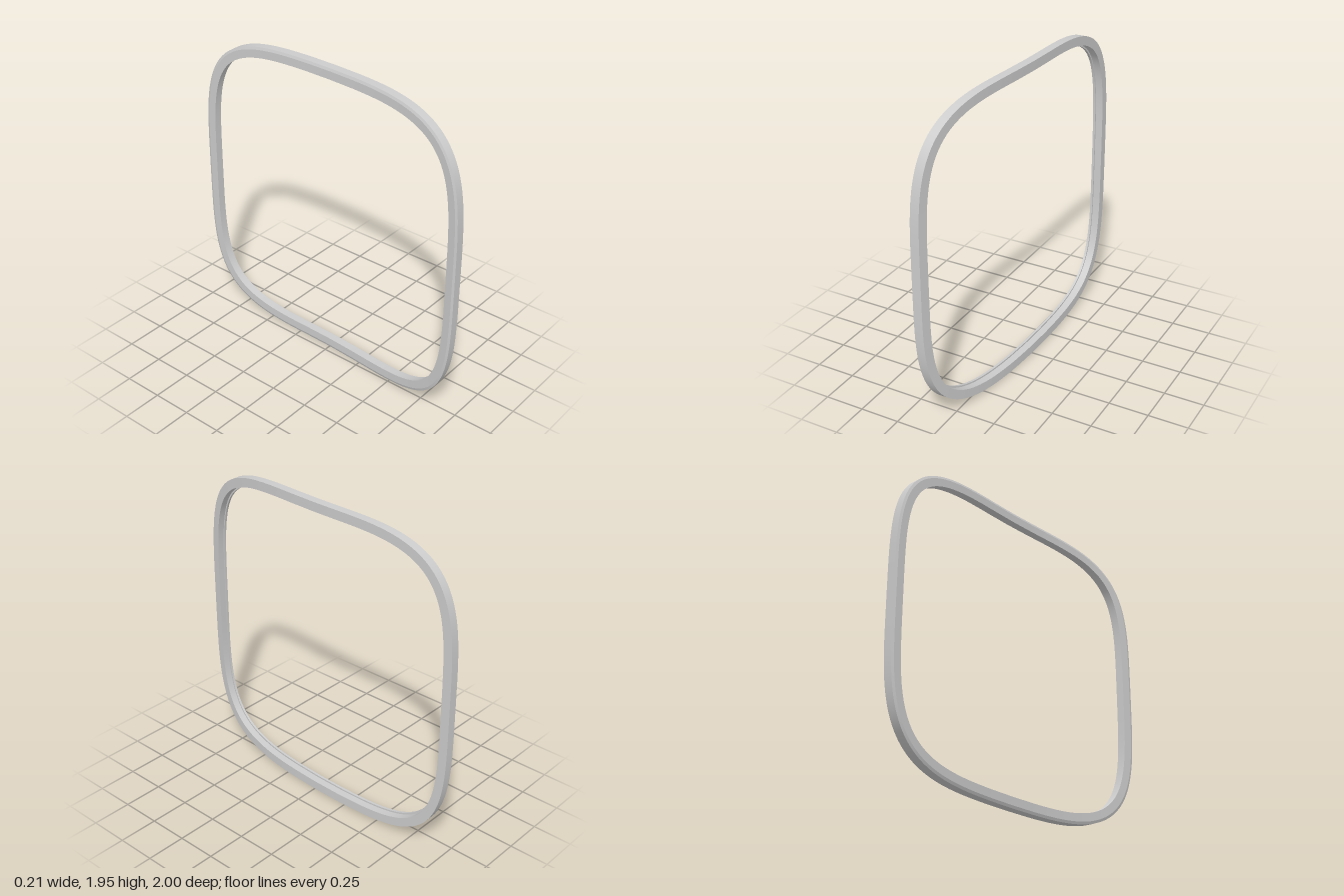
import * as THREE from 'three';

const HALF_Z = 1, HALF_Y = 0.9725, POWER = 4, SEGMENTS = 200;

// The flat rear half sweeps sideways toward the front
const faceX = (z) => 0.104 - 0.152 * Math.pow(Math.max(0, (z + 0.2) / 1.2), 2);

// Point on the rounded-square outline, moved inward by inset and sideways by depth
function ringPoint(i, [depth, inset]) {
  const t = (i / SEGMENTS) * Math.PI * 2;
  const c = Math.cos(t), s = Math.sin(t);
  const u = Math.sign(c) * Math.pow(Math.abs(c), 2 / POWER);
  const v = Math.sign(s) * Math.pow(Math.abs(s), 2 / POWER);
  let nz = Math.sign(u) * Math.pow(Math.abs(u), POWER - 1) / HALF_Z;
  let ny = Math.sign(v) * Math.pow(Math.abs(v), POWER - 1) / HALF_Y;
  const len = Math.hypot(nz, ny);
  nz /= len;
  ny /= len;
  const z = HALF_Z * u - nz * inset;
  const y = HALF_Y + HALF_Y * v - ny * inset;
  return [faceX(z) + depth, y, z];
}

// Sweep a closed profile round the outline, one smooth strip per profile edge
function sweepRing(profile) {
  const positions = [], index = [];
  profile.forEach((p, k) => {
    const q = profile[(k + 1) % profile.length];
    const base = positions.length / 3;
    for (let i = 0; i < SEGMENTS; i++) {
      positions.push(...ringPoint(i, p), ...ringPoint(i, q));
      const a = base + i * 2, c = base + ((i + 1) % SEGMENTS) * 2;
      index.push(a, a + 1, c, a + 1, c + 1, c);
    }
  });
  const geometry = new THREE.BufferGeometry();
  geometry.setAttribute('position', new THREE.Float32BufferAttribute(positions, 3));
  geometry.setIndex(index);
  geometry.computeVertexNormals();
  return geometry;
}

export function createModel() {
  const group = new THREE.Group();
  group.name = 'curvedFrame';
  const grey = new THREE.MeshStandardMaterial({ color: 0xcccccc });
  grey.name = 'light grey';

  // Square-section rim with a narrow inner lip on its -x side: [depth, inset]
  const profile = [
    [0, 0], [0, 0.057], [-0.046, 0.057], [-0.046, 0.067],
    [-0.061, 0.067], [-0.061, 0.016], [-0.055, 0],
  ];
  const rim = new THREE.Mesh(sweepRing(profile), grey);
  rim.name = 'rimWithInnerLip';
  group.add(rim);
  return group;
}
